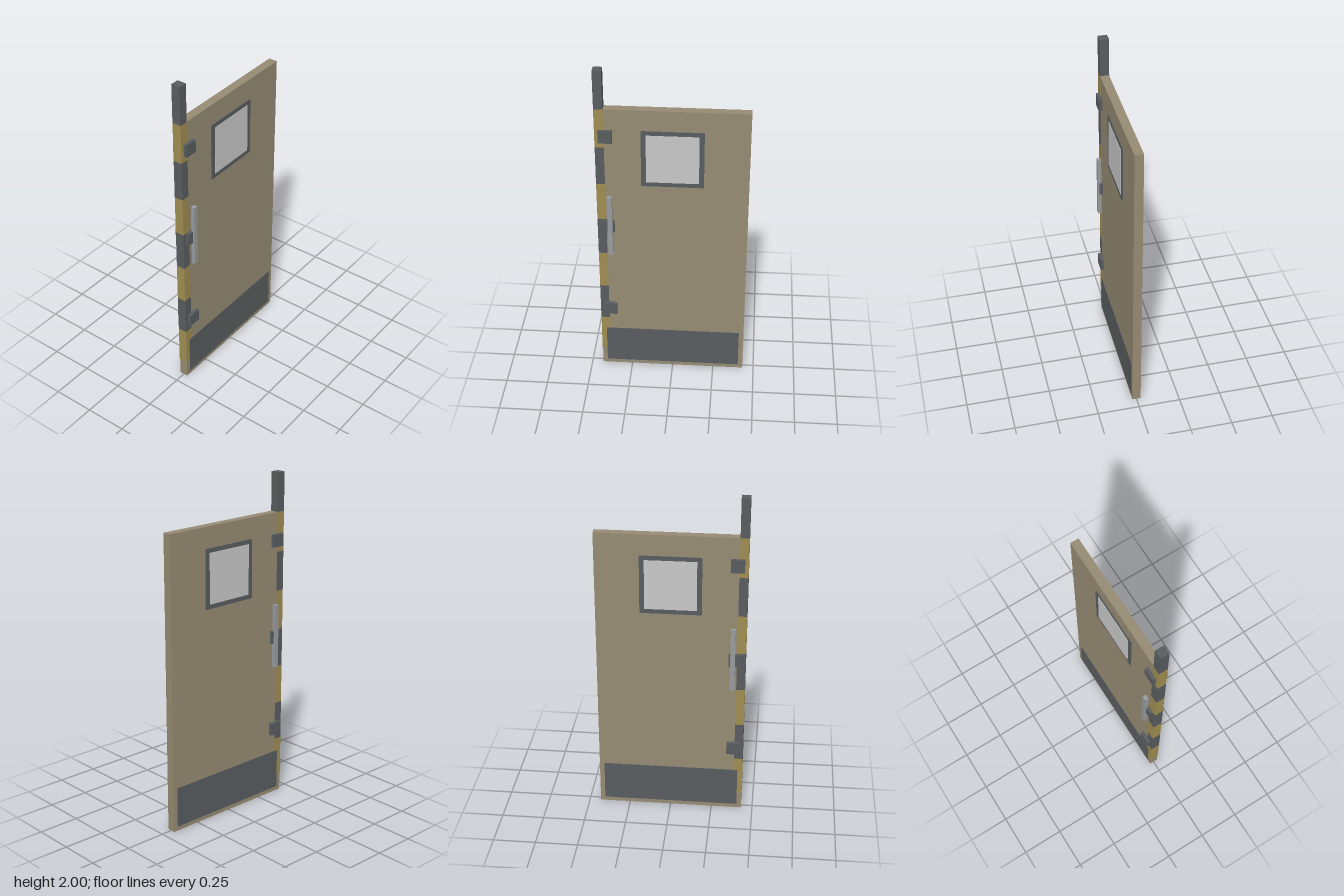
import * as THREE from 'three';

const mat = (name, color) => {
  const m = new THREE.MeshStandardMaterial({ color });
  m.name = name;
  return m;
};

export function createModel() {
  const door = new THREE.Group();
  door.name = 'door';
  const olive = mat('olive paint', 0x968b73);
  const dark = mat('dark grey metal', 0x585d5f);
  const yellow = mat('warning yellow', 0xa08d52);
  const glass = mat('pale glass', 0xc8c8c8);
  const steel = mat('handle steel', 0x989c9e);

  // Box given by its limits on each axis
  const box = (name, material, x0, x1, y0, y1, z0, z1) => {
    const mesh = new THREE.Mesh(new THREE.BoxGeometry(x1 - x0, y1 - y0, z1 - z0), material);
    mesh.position.set((x0 + x1) / 2, (y0 + y1) / 2, (z0 + z1) / 2);
    mesh.name = name;
    door.add(mesh);
  };

  box('panel', olive, -0.432, 0.432, 0, 1.77, -0.0255, 0.0255);

  // Striped edge post with a plain dark top
  const bottom = 0.115, stripe = (1.77 - bottom) / 7;
  for (let i = 0; i < 7; i++) {
    const y = bottom + i * stripe;
    box('postStripe', i % 2 ? dark : yellow, -0.434, -0.383, y, y + stripe, -0.027, 0.027);
  }
  box('postTop', dark, -0.434, -0.383, 1.77, 2, -0.027, 0.027);

  // Brackets clasping the post on both faces
  for (const y of [0.43, 1.02, 1.607]) {
    box('bracket', dark, -0.413, -0.335, y - 0.038, y + 0.038, -0.046, 0.046);
  }

  // Fittings repeated on the front and back
  for (const s of [1, -1]) {
    const plate = (name, material, x0, x1, y0, y1, a, b) =>
      box(name, material, x0, x1, y0, y1, Math.min(s * a, s * b), Math.max(s * a, s * b));
    plate('kickPlate', dark, -0.404, 0.404, 0.026, 0.27, 0.024, 0.0285);
    plate('windowFrame', dark, -0.177, 0.177, 1.295, 1.645, 0.024, 0.03);
    plate('windowPane', glass, -0.149, 0.149, 1.322, 1.62, 0.025, 0.032);
    plate('handle', steel, -0.373, -0.345, 0.835, 1.222, 0.034, 0.056);
  }
  return door;
}
